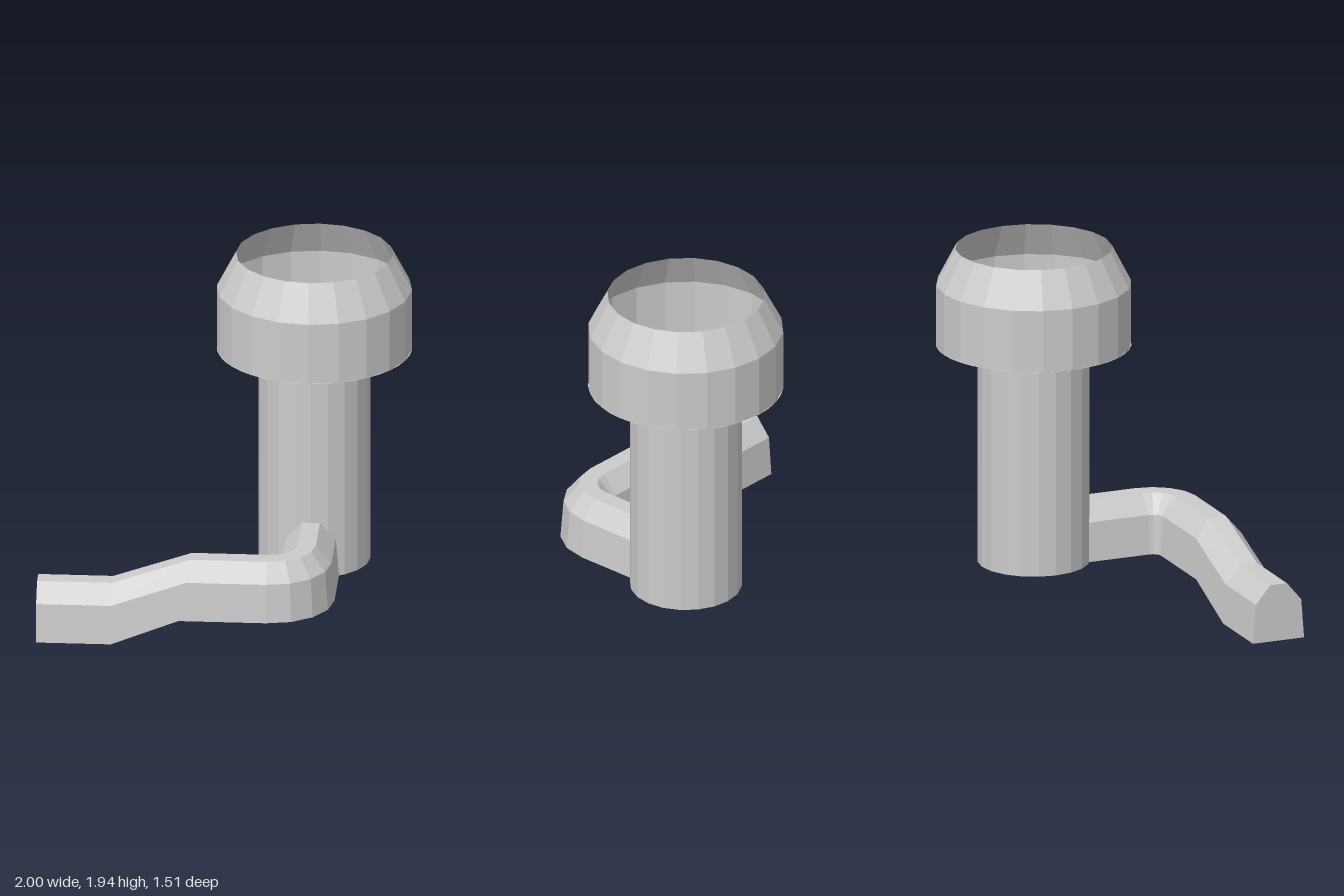
import * as THREE from 'three';

const CX = 0.46, CZ = -0.22, SIDES = 20;
const material = new THREE.MeshStandardMaterial({ color: 0xcccccc, flatShading: true });
const openMaterial = new THREE.MeshStandardMaterial({ color: 0xcccccc, flatShading: true, side: THREE.DoubleSide });

function add(group, name, geometry, mat = material) {
  const mesh = new THREE.Mesh(geometry, mat);
  mesh.name = name;
  group.add(mesh);
  return mesh;
}

// Sweep of a chamfered section; each ring has a base point, an outward direction and a shear along x
function stemGeometry() {
  const section = [[0.152, 0], [0.135, 0.22], [0.05, 0.322], [-0.05, 0.322], [-0.135, 0.22], [-0.152, 0]];
  const rings = [
    { x: -1, y: 0, z: 0.605, t: 0 },
    { x: -0.59, y: 0, z: 0.605, t: 0 },
    { x: -0.22, y: 0.148, z: 0.605, t: 0, shear: 0.19 },
  ];
  for (let i = 0; i <= 4; i++) {
    const t = (i / 4) * Math.PI / 2;
    rings.push({ x: 0.26 + 0.2 * Math.sin(t), y: 0.148, z: 0.405 + 0.2 * Math.cos(t), t });
  }
  rings.push({ x: 0.46, y: 0.148, z: 0, t: Math.PI / 2 });

  const positions = [], index = [], n = section.length;
  for (const r of rings) {
    for (const [u, h] of section) {
      positions.push(r.x + u * Math.sin(r.t) + (r.shear || 0) * h, r.y + h, r.z + u * Math.cos(r.t));
    }
  }
  for (let i = 0; i < rings.length - 1; i++) {
    for (let j = 0; j < n; j++) {
      const a = i * n + j, b = i * n + (j + 1) % n;
      index.push(a, a + n, b + n, a, b + n, b);
    }
  }
  // End caps
  const last = (rings.length - 1) * n;
  for (let j = 1; j < n - 1; j++) {
    index.push(0, j, j + 1, last, last + j + 1, last + j);
  }
  const geometry = new THREE.BufferGeometry();
  geometry.setAttribute('position', new THREE.Float32BufferAttribute(positions, 3));
  geometry.setIndex(index);
  const flat = geometry.toNonIndexed();
  flat.computeVertexNormals();
  return flat;
}

export function createModel() {
  const model = new THREE.Group();
  model.name = 'pipe';

  add(model, 'stem', stemGeometry());

  const upright = new THREE.Group();
  upright.name = 'upright';
  upright.position.set(CX, 0, CZ);
  model.add(upright);

  // Column
  const column = add(upright, 'column', new THREE.CylinderGeometry(0.307, 0.307, 1.202, SIDES));
  column.position.y = 0.148 + 0.601;

  // Collar: full front half, narrower back half with a tapered notch
  const collar = new THREE.Shape();
  collar.absarc(0, 0, 0.307, Math.PI, Math.PI * 2, false);
  collar.lineTo(0.2, 0);
  collar.absarc(0, 0, 0.2, 0, Math.acos(0.4), false);
  collar.lineTo(0.065, 0.04);
  collar.lineTo(0.035, -0.025);
  collar.lineTo(-0.035, -0.025);
  collar.lineTo(-0.065, 0.04);
  collar.absarc(0, 0, 0.2, Math.PI - Math.acos(0.4), Math.PI, false);
  const collarGeometry = new THREE.ExtrudeGeometry(collar, { depth: 0.035, bevelEnabled: false, curveSegments: 10 });
  const collarMesh = add(upright, 'collar', collarGeometry.rotateX(-Math.PI / 2));
  collarMesh.position.y = 1.35;

  // Bowl wall, open at the top
  const profile = [[0.535, 1.387], [0.535, 1.735], [0.43, 1.938]].map(([x, y]) => new THREE.Vector2(x, y));
  add(upright, 'bowlWall', new THREE.LatheGeometry(profile, SIDES), openMaterial);

  // Bowl floor with a small draught hole
  const floor = new THREE.Shape();
  floor.absarc(0, 0, 0.535, 0, Math.PI * 2, false);
  const hole = [[-0.035, -0.025], [0.035, -0.025], [0.065, 0.035], [0.02, 0.05], [-0.02, 0.05], [-0.065, 0.035]];
  floor.holes.push(new THREE.Path(hole.map(([x, y]) => new THREE.Vector2(x, y))));
  const floorMesh = add(upright, 'bowlFloor', new THREE.ShapeGeometry(floor, SIDES).rotateX(-Math.PI / 2), openMaterial);
  floorMesh.position.y = 1.387;

  return model;
}
